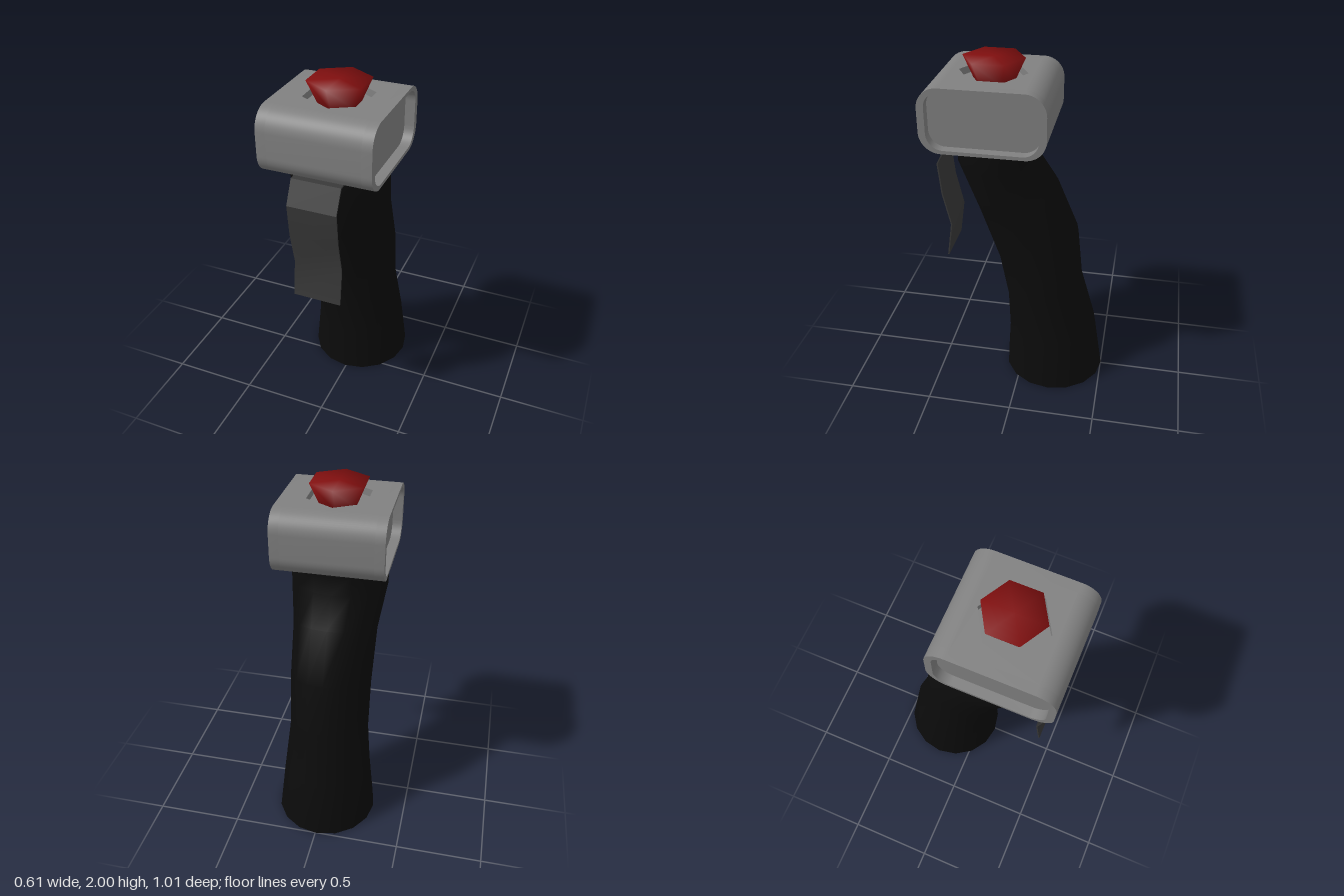
import * as THREE from 'three';
import { toCreasedNormals } from 'three/addons/utils/BufferGeometryUtils.js';

const material = (name, color, side = THREE.FrontSide) => {
  const m = new THREE.MeshStandardMaterial({ color, side });
  m.name = name;
  return m;
};

// Rounded rectangle centred on u = 0; an optional notch is cut into its top edge.
function roundedRect(path, w, y0, y1, r, notchW = 0, notchD = 0) {
  path.moveTo(-w + r, y0);
  path.lineTo(w - r, y0);
  path.absarc(w - r, y0 + r, r, -Math.PI / 2, 0);
  path.lineTo(w, y1 - r);
  path.absarc(w - r, y1 - r, r, 0, Math.PI / 2);
  if (notchD) {
    path.lineTo(notchW, y1);
    path.lineTo(notchW, y1 - notchD);
    path.lineTo(-notchW, y1 - notchD);
    path.lineTo(-notchW, y1);
  }
  path.lineTo(-w + r, y1);
  path.absarc(-w + r, y1 - r, r, Math.PI / 2, Math.PI);
  path.lineTo(-w, y0 + r);
  path.absarc(-w + r, y0 + r, r, Math.PI, Math.PI * 1.5);
  return path;
}

// Extrude a side-view shape (u = -z, v = y) along x, starting at x0.
function extrudeX(shape, x0, length) {
  const g = new THREE.ExtrudeGeometry(shape, { depth: length, bevelEnabled: false, curveSegments: 8 });
  g.rotateY(Math.PI / 2).translate(x0, 0, 0);
  return toCreasedNormals(g, 0.5);
}

// Sixteen-sided grip lofted through tilted oval rings.
function gripGeometry() {
  // front y, front z, back y, back z, half width
  const rings = [
    [0, 0.105, 0, -0.502, 0.298],
    [0.28, 0.09, 0.33, -0.45, 0.265],
    [0.54, 0.10, 0.66, -0.355, 0.236],
    [0.80, 0.15, 0.98, -0.32, 0.238],
    [1.12, 0.262, 1.27, -0.195, 0.245],
    [1.43, 0.375, 1.43, -0.08, 0.28],
    [1.547, 0.375, 1.547, -0.08, 0.28],
  ];
  const n = 16, pos = [], index = [];
  for (const [yf, zf, yb, zb, w] of rings) {
    for (let i = 0; i < n; i++) {
      const a = (i / n) * Math.PI * 2, t = (1 + Math.cos(a)) / 2;
      pos.push(-0.008 + w * Math.sin(a), yb + (yf - yb) * t, zb + (zf - zb) * t);
    }
  }
  const bottom = pos.length / 3, top = bottom + 1, last = (rings.length - 1) * n;
  pos.push(-0.008, 0, -0.2, -0.008, 1.547, 0.15);
  for (let i = 0; i < n; i++) {
    const j = (i + 1) % n;
    for (let r = 0; r < last; r += n) {
      index.push(r + i, r + j, r + n + j, r + i, r + n + j, r + n + i);
    }
    index.push(bottom, j, i, top, last + i, last + j);
  }
  const g = new THREE.BufferGeometry();
  g.setAttribute('position', new THREE.Float32BufferAttribute(pos, 3));
  g.setIndex(index);
  return toCreasedNormals(g, 1);
}

export function createModel() {
  const model = new THREE.Group();
  const gray = material('housing gray', 0x808080);
  const black = material('grip black', 0x0b0b0b);
  const dark = material('trigger dark gray', 0x383838, THREE.DoubleSide);
  const red = material('button red', 0x800f0f);
  const add = (parent, name, geometry, mat) => {
    const mesh = new THREE.Mesh(geometry, mat);
    mesh.name = name;
    parent.add(mesh);
    return mesh;
  };

  add(model, 'grip', gripGeometry(), black);

  // Housing: core, recessed end rims and a top plate with a hexagonal opening
  const head = new THREE.Group();
  head.name = 'head';
  head.position.z = 0.167;
  model.add(head);
  const W = 0.338, Y0 = 1.558, Y1 = 1.918, R = 0.115, half = 0.307, rim = 0.055, depth = 0.04;
  const inner = half - rim;
  add(head, 'headCore', extrudeX(roundedRect(new THREE.Shape(), W, Y0, Y1, R, W - R, depth), -inner, inner * 2), gray);

  const rimShape = roundedRect(new THREE.Shape(), W, Y0, Y1, R);
  rimShape.holes.push(roundedRect(new THREE.Path(), W - 0.039, Y0 + 0.02, Y1 - 0.02, 0.09));
  add(head, 'leftRim', extrudeX(rimShape, inner, rim), gray);
  add(head, 'rightRim', extrudeX(rimShape, -half, rim), gray);

  const plate = new THREE.Shape();
  plate.moveTo(-inner, R - W).lineTo(inner, R - W).lineTo(inner, W - R).lineTo(-inner, W - R);
  const hex = [];
  for (let i = 0; i < 6; i++) {
    const a = (i / 6) * Math.PI * 2;
    hex.push(new THREE.Vector2(0.188 * Math.sin(a), 0.188 * Math.cos(a)));
  }
  plate.holes.push(new THREE.Path(hex));
  const plateGeometry = new THREE.ExtrudeGeometry(plate, { depth, bevelEnabled: false });
  plateGeometry.rotateX(-Math.PI / 2).translate(0, Y1 - depth, 0);
  add(head, 'topPlate', plateGeometry, gray);

  // Six-sided flared button
  const buttonProfile = [[0.115, Y1 - depth], [0.17, 2], [0, 2]].map(([x, y]) => new THREE.Vector2(x, y));
  const button = add(model, 'button', new THREE.LatheGeometry(buttonProfile, 6), red);
  button.position.z = 0.163;

  // Bent sheet trigger
  const bend = [[0.35, 1.535], [0.415, 1.53], [0.481, 1.40], [0.463, 1.21], [0.418, 1.01], [0.447, 0.80]];
  const outer = bend.map(([z, y]) => new THREE.Vector2(-z, y));
  const inside = bend.map(([z, y], i) => new THREE.Vector2(-z + 0.008, y - (i < 2 ? 0.008 : 0))).reverse();
  add(model, 'trigger', extrudeX(new THREE.Shape([...outer, ...inside]), -0.17, 0.28), dark);

  return model;
}
